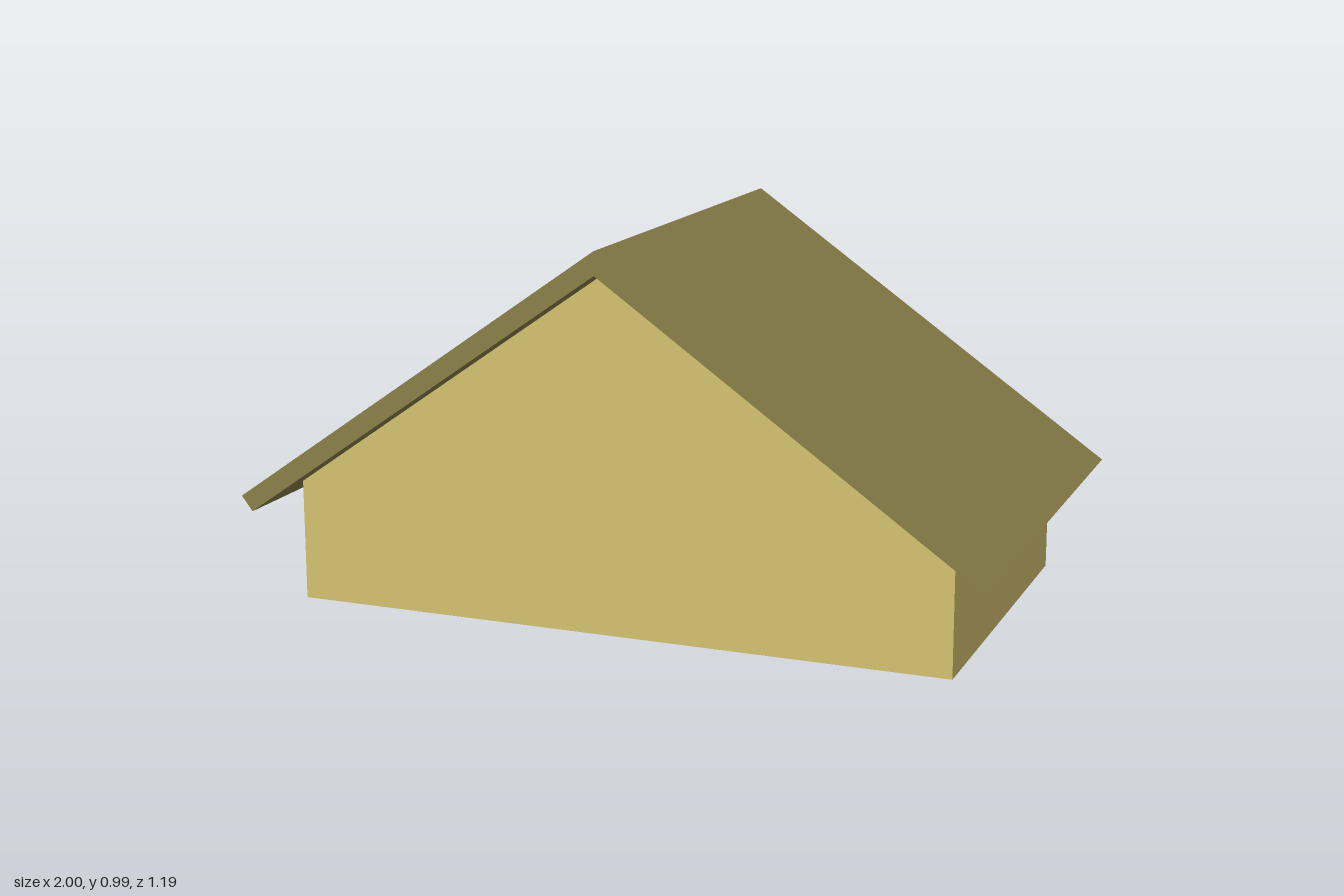
import * as THREE from 'three';

const WALL_X = 0.875, WALL_Z = 0.495, ROOF_Z = 0.593, T = 0.05;
const SLOPE = 0.7, PEAK = 0.93; // underside of the roof
const underside = (x) => PEAK - SLOPE * Math.abs(x);

// Extrude an x/y outline along z, from z0 to z1.
function slab(name, points, z0, z1, material) {
  const shape = new THREE.Shape(points.map(([x, y]) => new THREE.Vector2(x, y)));
  const geometry = new THREE.ExtrudeGeometry(shape, { depth: z1 - z0, bevelEnabled: false });
  geometry.translate(0, 0, z0);
  const mesh = new THREE.Mesh(geometry, material);
  mesh.name = name;
  return mesh;
}

export function createModel() {
  const group = new THREE.Group();
  group.name = 'gabledHouse';
  const wallMat = new THREE.MeshStandardMaterial({ color: 0xd9c774 });
  const roofMat = new THREE.MeshStandardMaterial({ color: 0x8f844c });
  const floorMat = new THREE.MeshStandardMaterial({ color: 0x808080 });

  // Gable walls, front and back
  const gable = [
    [-WALL_X, 0], [WALL_X, 0], [WALL_X, underside(WALL_X)],
    [0, PEAK], [-WALL_X, underside(WALL_X)],
  ];
  group.add(slab('frontGableWall', gable, WALL_Z - T, WALL_Z, wallMat));
  group.add(slab('backGableWall', gable, -WALL_Z, -WALL_Z + T, wallMat));

  for (const [side, s] of [['left', 1], ['right', -1]]) {
    // Side wall between the gables, its top cut to the roof slope
    const inner = WALL_X - T;
    const wall = [[s * inner, 0], [s * WALL_X, 0], [s * WALL_X, underside(WALL_X)], [s * inner, underside(inner)]];
    group.add(slab(side + 'SideWall', wall, -WALL_Z + T, WALL_Z - T, wallMat));

    // Roof panel with a square-cut eave, mitred at the ridge
    const panel = [[0, PEAK], [s * 0.97, underside(0.97)], [s, 0.29], [0, 0.99]];
    group.add(slab(side + 'RoofPanel', panel, -ROOF_Z, ROOF_Z, roofMat));
  }

  // Floor set inside the walls
  const floor = new THREE.Mesh(
    new THREE.BoxGeometry(2 * (WALL_X - T), T, 2 * (WALL_Z - T)), floorMat);
  floor.name = 'floor';
  floor.position.y = T / 2;
  group.add(floor);

  return group;
}
